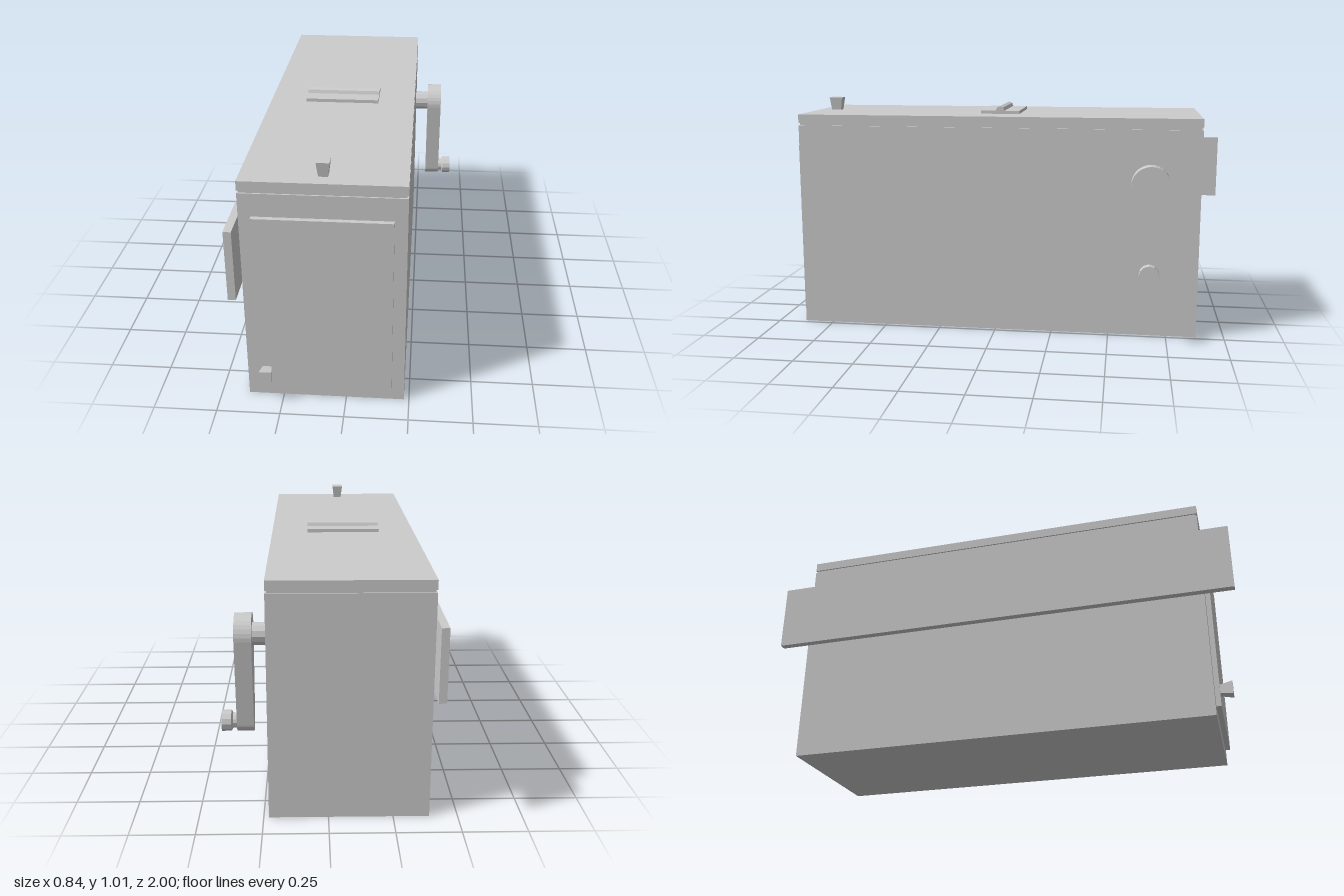
import * as THREE from 'three';

const material = new THREE.MeshStandardMaterial({ color: 0xcccccc, flatShading: true });

export function createModel() {
  const model = new THREE.Group();

  const add = (name, geometry, parent = model) => {
    const mesh = new THREE.Mesh(geometry, material);
    mesh.name = name;
    parent.add(mesh);
    return mesh;
  };

  // Box given by its minimum and maximum corners
  const box = (name, [x0, y0, z0], [x1, y1, z1]) => {
    const mesh = add(name, new THREE.BoxGeometry(x1 - x0, y1 - y0, z1 - z0));
    mesh.position.set((x0 + x1) / 2, (y0 + y1) / 2, (z0 + z1) / 2);
    return mesh;
  };

  // Square knob flaring outwards, standing on its narrow end at y = 0
  const knob = (name, height, topX, topZ, taper) => {
    const geometry = new THREE.BoxGeometry(topX, height, topZ).translate(0, height / 2, 0);
    const p = geometry.attributes.position;
    for (let i = 0; i < p.count; i++) {
      if (p.getY(i) < height / 2) p.setXYZ(i, p.getX(i) * taper, 0, p.getZ(i) * taper);
    }
    geometry.computeVertexNormals();
    return add(name, geometry);
  };

  // Case with a thin recessed seam below the lid
  box('caseBody', [-0.39, 0, -0.88], [0.23, 0.9, 0.88]);
  box('lidSeam', [-0.384, 0.9, -0.874], [0.224, 0.91, 0.874]);
  box('lid', [-0.39, 0.91, -0.88], [0.23, 0.948, 0.88]);

  // Front door and its knob
  box('frontDoor', [-0.343, 0.053, 0.88], [0.181, 0.807, 0.9]);
  const doorKnob = knob('doorKnob', 0.05, 0.05, 0.053, 0.68);
  doorKnob.rotation.x = Math.PI / 2;
  doorKnob.position.set(-0.31, 0.131, 0.9);

  // Lid knob
  knob('lidKnob', 0.058, 0.05, 0.06, 0.72).position.set(-0.082, 0.948, 0.8);

  // Lid plate with a raised rib
  box('lidPlate', [-0.237, 0.948, -0.087], [0.075, 0.962, 0.087]);
  const rib = add('lidRib', new THREE.CylinderGeometry(0.02, 0.02, 0.312, 8));
  rib.rotation.z = Math.PI / 2;
  rib.position.set(-0.081, 0.962, 0);

  // Long board along the side
  box('sideBoard', [-0.42, 0.523, -1], [-0.39, 0.807, 1]);

  // Crank: local x points outwards, origin on the shaft axis
  const crank = new THREE.Group();
  crank.name = 'crank';
  crank.position.set(0, 0.679, -0.667);
  model.add(crank);

  const rod = (name, x0, x1, r0, r1, y) => {
    const geometry = new THREE.CylinderGeometry(r0, r1, x1 - x0, 12).rotateZ(Math.PI / 2);
    add(name, geometry, crank).position.set((x0 + x1) / 2, y, 0);
  };
  const gripY = -0.364;
  rod('crankShaft', 0.23, 0.29, 0.045, 0.045, 0);

  // Arm: a large and a small round end joined by tangents
  const R = 0.082, r = 0.042;
  const tilt = Math.asin((R - r) / -gripY);
  const outline = new THREE.Shape();
  outline.absarc(0, 0, R, -tilt, Math.PI + tilt, false);
  outline.absarc(0, gripY, r, Math.PI + tilt, 2 * Math.PI - tilt, false);
  const armGeometry = new THREE.ExtrudeGeometry(outline, { depth: 0.067, bevelEnabled: false, curveSegments: 8 });
  armGeometry.rotateY(Math.PI / 2).translate(0.29, 0, 0);
  add('crankArm', armGeometry, crank);

  // Grip with a narrow neck
  rod('gripNeck', 0.357, 0.374, 0.03, 0.03, gripY);
  rod('gripCollar', 0.374, 0.38, 0.03, 0.042, gripY);
  rod('gripHead', 0.38, 0.418, 0.042, 0.042, gripY);

  return model;
}
